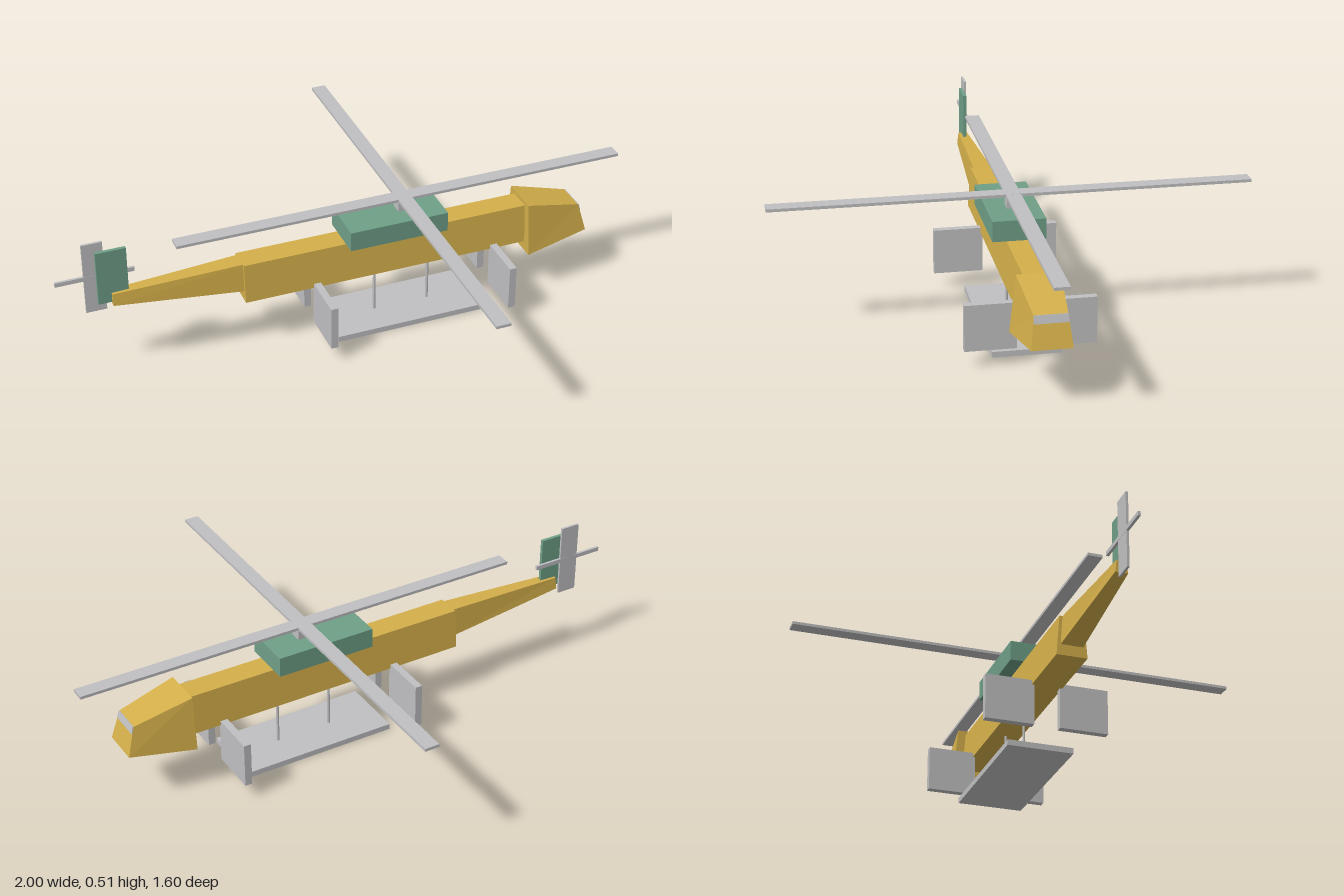
import * as THREE from 'three';

const flat = (name, color) => {
  const m = new THREE.MeshStandardMaterial({ color });
  m.name = name;
  return m;
};

// Six-sided solid between two trapezoid sections facing along x.
// Section: { bx, tx, b, t, wb, wt } = x and y of the bottom and top edges, half widths there.
function loft(rear, front) {
  const ring = s => [[s.bx, s.b, s.wb], [s.tx, s.t, s.wt], [s.tx, s.t, -s.wt], [s.bx, s.b, -s.wb]];
  const r = ring(rear), f = ring(front), pos = [];
  const quad = (a, b, c, d) => pos.push(...a, ...b, ...c, ...a, ...c, ...d);
  for (let i = 0; i < 4; i++) {
    const j = (i + 1) % 4;
    quad(r[i], f[i], f[j], r[j]);
  }
  quad(f[0], f[3], f[2], f[1]);
  quad(r[0], r[1], r[2], r[3]);
  const g = new THREE.BufferGeometry();
  g.setAttribute('position', new THREE.Float32BufferAttribute(pos, 3));
  g.computeVertexNormals();
  return g;
}

const section = (x, b, t, wb, wt, tx = x) => ({ bx: x, tx, b, t, wb, wt });

export function createModel() {
  const model = new THREE.Group();
  model.name = 'helicopter';
  const gold = flat('gold body', 0xd4af4a);
  const green = flat('green panels', 0x6f9f87);
  const silver = flat('silver metal', 0xc0c0c2);

  const add = (name, geometry, material, parent = model) => {
    const mesh = new THREE.Mesh(geometry, material);
    mesh.name = name;
    parent.add(mesh);
    return mesh;
  };
  // Box given by its extents on each axis
  const box = (name, [x0, x1], [y0, y1], [z0, z1], material, parent) => {
    const mesh = add(name, new THREE.BoxGeometry(x1 - x0, y1 - y0, z1 - z0), material, parent);
    mesh.position.set((x0 + x1) / 2, (y0 + y1) / 2, (z0 + z1) / 2);
    return mesh;
  };

  // Body, nose pointing to +x
  add('fuselage', loft(section(-0.38, 0.2, 0.34, 0.053, 0.042), section(0.65, 0.2, 0.34, 0.053, 0.042)), gold);
  add('tailBoom', loft(section(-0.82, 0.28, 0.322, 0.021, 0.016), section(-0.37, 0.237, 0.34, 0.039, 0.032)), gold);
  add('nose', loft(section(0.64, 0.165, 0.355, 0.09, 0.07), section(0.87, 0.202, 0.305, 0.065, 0.053, 0.842)), gold);

  // Thin window strip along the top of the nose face
  add('noseWindow', loft(
    section(0.846, 0.28, 0.305, 0.055, 0.053, 0.84),
    section(0.851, 0.28, 0.306, 0.055, 0.053, 0.844)), silver);

  // Engine housing, mast and crossed main blades
  box('engineHousing', [-0.02, 0.33], [0.34, 0.41], [-0.088, 0.088], green);
  const rotor = new THREE.Group();
  rotor.name = 'mainRotor';
  model.add(rotor);
  box('mast', [0.177, 0.223], [0.41, 0.452], [-0.021, 0.021], silver, rotor);
  box('bladeLengthwise', [-0.6, 1], [0.45, 0.46], [-0.025, 0.025], silver, rotor);
  box('bladeCrosswise', [0.175, 0.225], [0.4505, 0.4605], [-0.8, 0.8], silver, rotor);

  // Tail fin and tail rotor on its -z side
  box('tailFin', [-0.865, -0.762], [0.287, 0.483], [-0.006, 0.006], green);
  const tailRotor = new THREE.Group();
  tailRotor.name = 'tailRotor';
  model.add(tailRotor);
  box('bladeUpright', [-0.905, -0.835], [0.255, 0.515], [-0.016, -0.008], silver, tailRotor);
  box('bladeLevel', [-1, -0.735], [0.379, 0.394], [-0.0165, -0.0075], silver, tailRotor);

  // Landing plate on two thin struts
  box('landingPlate', [-0.075, 0.472], [0, 0.02], [-0.115, 0.115], silver);
  for (const x of [0.1, 0.297]) {
    add('strut', new THREE.CylinderGeometry(0.005, 0.005, 0.19, 10), silver).position.set(x, 0.11, 0);
  }

  // Four upright side panels, mirrored across the body
  for (const x of [-0.127, 0.522]) {
    for (const side of [-1, 1]) {
      const panel = box('sidePanel', [x - 0.0125, x + 0.0125], [0.057, 0.215], [0.045, 0.214], silver);
      panel.position.z *= side;
    }
  }
  return model;
}
